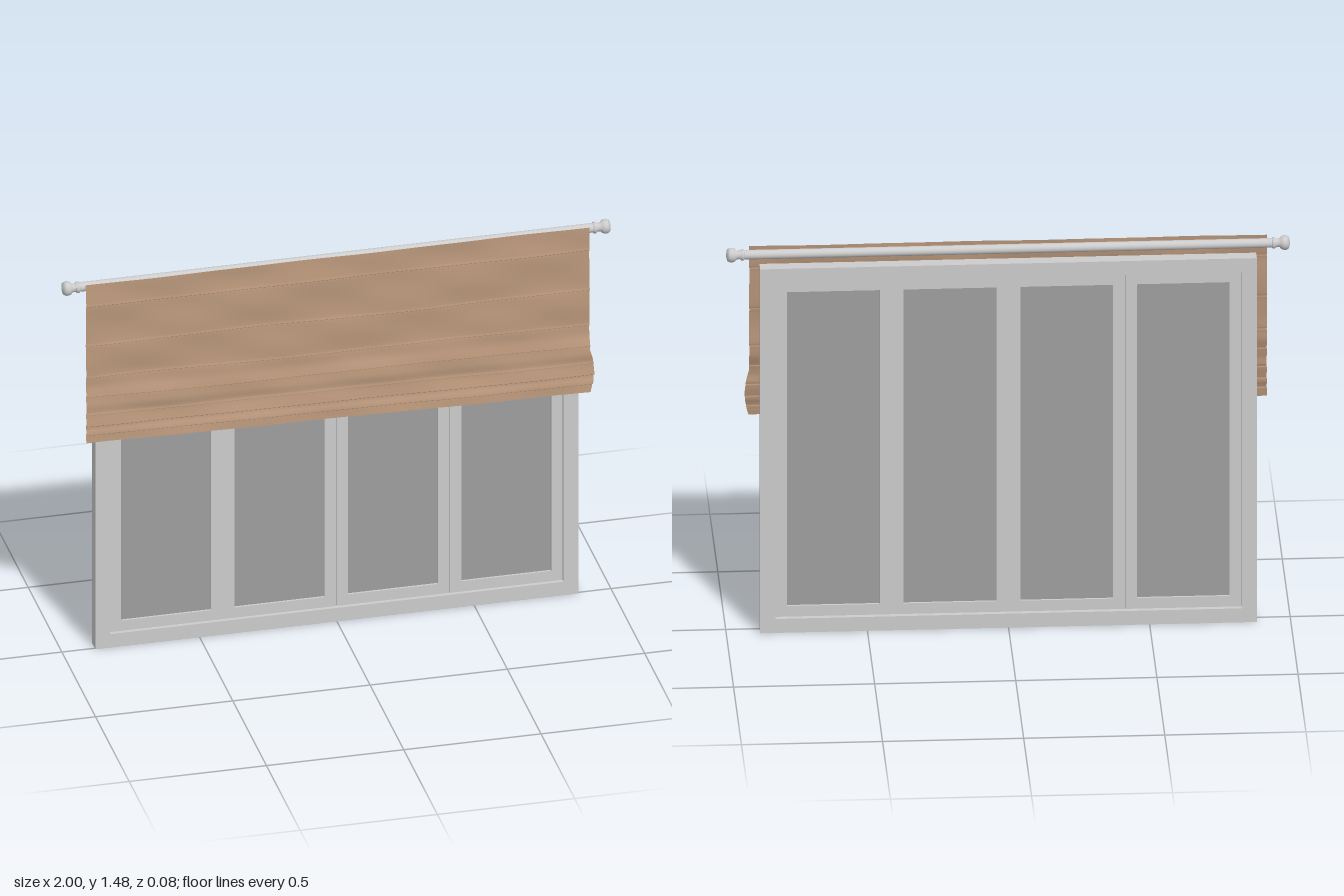
import * as THREE from 'three';

const grey = new THREE.MeshStandardMaterial({ color: 0xcccccc });
const glassMat = new THREE.MeshStandardMaterial({ color: 0x9e9e9e });
const clothMat = new THREE.MeshStandardMaterial({ color: 0xb8967a, side: THREE.DoubleSide });

function add(parent, name, geometry, material = grey) {
  const mesh = new THREE.Mesh(geometry, material);
  mesh.name = name;
  parent.add(mesh);
  return mesh;
}

// Rectangular frame with a rectangular opening, between two depths
function frameGeometry(x0, x1, y0, y1, border, zBack, zFront) {
  const rect = (target, a, b, c, d) =>
    target.moveTo(a, c).lineTo(b, c).lineTo(b, d).lineTo(a, d).closePath();
  const shape = rect(new THREE.Shape(), x0, x1, y0, y1);
  shape.holes.push(rect(new THREE.Path(), x0 + border, x1 - border, y0 + border, y1 - border));
  return new THREE.ExtrudeGeometry(shape, { depth: zFront - zBack, bevelEnabled: false })
    .translate(0, 0, zBack);
}

function createWindow() {
  const group = new THREE.Group();
  group.name = 'window';
  add(group, 'outerFrame', frameGeometry(-0.88, 0.88, 0, 1.41, 0.054, -0.04, 0.008));

  // Four sashes, each with a recessed pane
  const width = 1.652 / 4;
  for (let i = 0; i < 4; i++) {
    const x0 = -0.826 + i * width;
    const gap = 0.0015;
    add(group, 'sash', frameGeometry(x0 + gap, x0 + width - gap, 0.056, 1.354, 0.041, -0.026, -0.003));
    add(group, 'pane', new THREE.BoxGeometry(width - 0.08, 1.22, 0.006), glassMat)
      .position.set(x0 + width / 2, 0.705, -0.0145);
  }
  // Thin back plate closing the joints between the sashes
  for (let i = 1; i < 4; i++) {
    add(group, 'sashJoint', new THREE.BoxGeometry(0.012, 1.296, 0.012))
      .position.set(-0.826 + i * width, 0.705, -0.0145);
  }
  return group;
}

function createRod() {
  const group = new THREE.Group();
  group.name = 'curtainRod';
  add(group, 'rod', new THREE.CylinderGeometry(0.017, 0.017, 1.9, 24).rotateZ(Math.PI / 2));

  // Turned finial profile: radius, distance along the rod
  const profile = [
    [0.017, 0.935], [0.021, 0.937], [0.021, 0.945], [0.015, 0.95], [0.016, 0.962],
    [0.023, 0.968], [0.026, 0.976], [0.026, 0.986], [0.021, 0.995], [0, 1.0],
  ].map(([r, d]) => new THREE.Vector2(r, d));
  for (const side of [-1, 1]) {
    add(group, 'finial', new THREE.LatheGeometry(profile, 24).rotateZ(-side * Math.PI / 2));
  }
  group.position.set(0, 1.453, -0.006);
  return group;
}

function createBlind() {
  // Height and depth of the cloth from top to hem; every fold overlaps the one below
  const points = [[1.472, 0.024], [1.43, 0.026]];
  const folds = [[1.386, 0.03], [1.228, 0.031], [1.093, 0.031], [1.015, 0.037],
    [0.943, 0.034], [0.898, 0.035], [0.862, 0.036]];
  folds.forEach(([y, z], i) => {
    const next = i < folds.length - 1 ? folds[i + 1][0] : 0.83;
    points.push([y + 0.01, z], [y, z + 0.002], [y + 0.004, z - 0.006], [y - 0.01, z - 0.005]);
    if (y - next > 0.06) points.push([(y + next) / 2, z - 0.002]);
  });
  points.push([0.83, 0.034]);
  const curve = new THREE.CatmullRomCurve3(
    points.map(([y, z]) => new THREE.Vector3(0, y, z)), false, 'centripetal');

  const rows = 150, columns = 80;
  const geometry = new THREE.PlaneGeometry(1, 1, columns, rows);
  const position = geometry.attributes.position;
  const point = new THREE.Vector3();
  for (let i = 0; i < position.count; i++) {
    const u = position.getX(i) * 2;
    const t = 0.5 - position.getY(i);
    curve.getPoint(t, point);
    const drop = THREE.MathUtils.clamp((1.472 - point.y) / 0.64, 0, 1);
    // Hem hangs lower on one side, with gentle sagging folds and creases
    const sag = -0.014 * u * drop
      + 0.003 * Math.sin(u * 5 + drop * 9) * Math.sin(Math.PI * drop);
    const crease = 0.0018 * Math.sin(u * 7 + drop * 17) + 0.001 * Math.sin(u * 15 - drop * 26);
    // Lower corner flares outward
    const flare = point.y < 1 && u > 0.8
      ? 0.016 * Math.sin(Math.PI * (1 - point.y) / 0.18) * (u - 0.8) / 0.2 : 0;
    position.setXYZ(i, u * 0.917 - 0.002 + flare, point.y + sag, point.z + crease);
  }
  geometry.computeVertexNormals();
  const blind = new THREE.Group();
  blind.name = 'romanBlind';
  add(blind, 'foldedCloth', geometry, clothMat);
  return blind;
}

export function createModel() {
  const model = new THREE.Group();
  model.name = 'windowWithBlind';
  model.add(createWindow(), createRod(), createBlind());
  return model;
}
